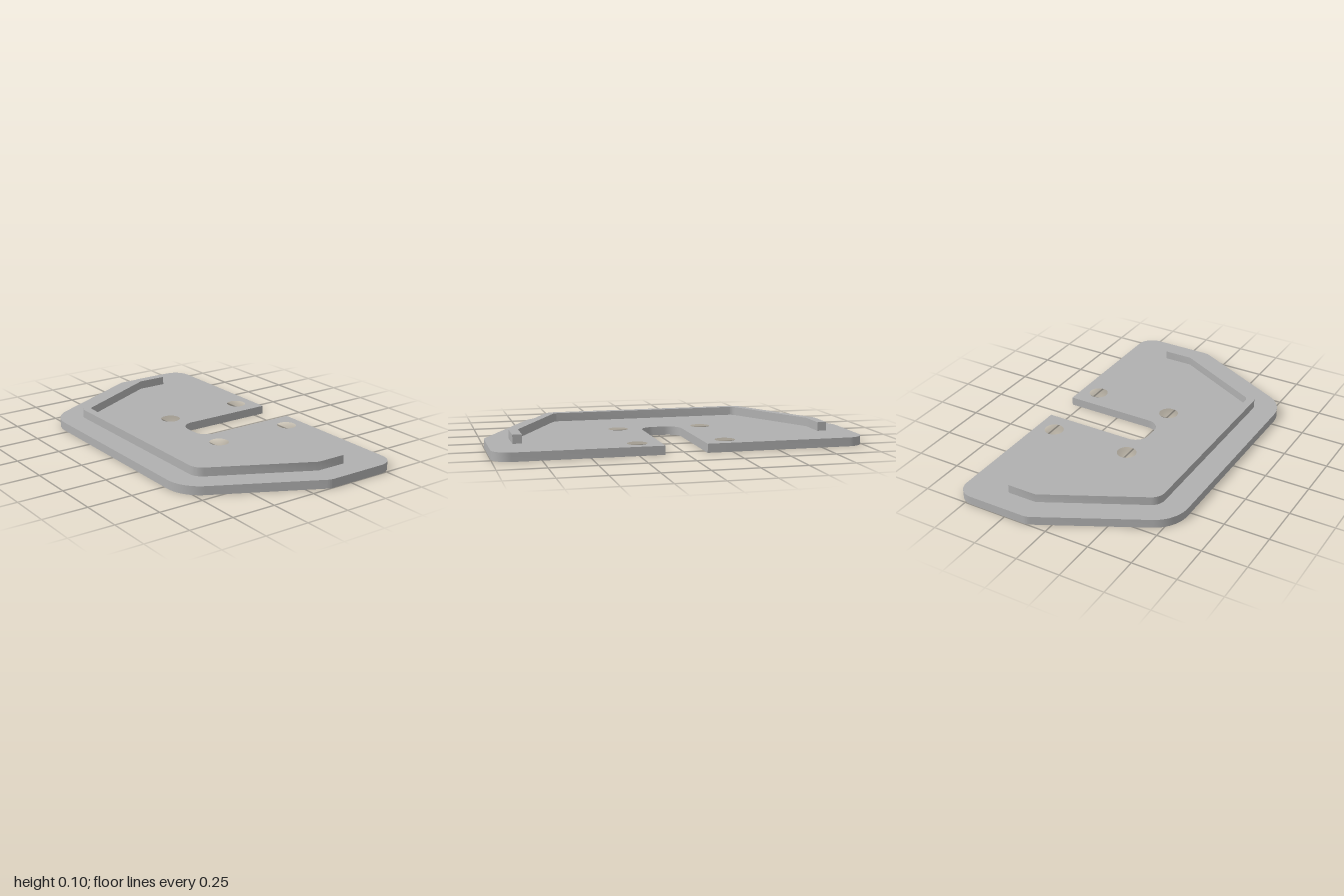
import * as THREE from 'three';
import { toCreasedNormals } from 'three/addons/utils/BufferGeometryUtils.js';

const PLATE_H = 0.048, RIDGE_H = 0.048;

// Closed outline from corners [x, z, radius], each corner rounded with a true arc
function roundedOutline(corners) {
  const pts = [];
  const n = corners.length;
  corners.forEach(([x, z, r], i) => {
    const p = new THREE.Vector2(x, -z);
    if (!r) { pts.push(p); return; }
    const a = corners[(i + n - 1) % n], b = corners[(i + 1) % n];
    const u = new THREE.Vector2(a[0], -a[1]).sub(p).normalize();
    const v = new THREE.Vector2(b[0], -b[1]).sub(p).normalize();
    const half = Math.acos(u.dot(v)) / 2;
    const centre = u.clone().add(v).normalize().multiplyScalar(r / Math.sin(half)).add(p);
    const start = u.multiplyScalar(r / Math.tan(half)).add(p).sub(centre);
    const turn = Math.PI - 2 * half;
    const end = v.multiplyScalar(r / Math.tan(half)).add(p).sub(centre);
    const sign = Math.sign(start.cross(end));
    for (let k = 0; k <= 10; k++) {
      pts.push(start.clone().rotateAround(new THREE.Vector2(), sign * turn * k / 10).add(centre));
    }
  });
  return new THREE.Shape(pts);
}

// Adds the mirrored half of a corner list
const mirrored = (half) => [...half, ...half.map(([x, z, r]) => [-x, z, r]).reverse()];

// Extrudes an outline upwards from height y
function slab(name, shape, y, height, material) {
  const geo = new THREE.ExtrudeGeometry(shape, { depth: height, bevelEnabled: false, curveSegments: 24 });
  geo.rotateX(-Math.PI / 2);
  geo.translate(0, y, 0);
  const mesh = new THREE.Mesh(toCreasedNormals(geo, Math.PI / 6), material);
  mesh.name = name;
  return mesh;
}

export function createModel() {
  const group = new THREE.Group();
  group.name = 'mountingPlate';
  const grey = new THREE.MeshStandardMaterial({ color: 0xb0b0b0 });
  grey.name = 'plain grey';

  // Base plate with a rounded slot open to the back
  const plate = roundedOutline(mirrored([
    [0.113, 0.042, 0.08],
    [0.113, -0.558, 0],
    [1, -0.558, 0.095],
    [1, -0.115, 0.08],
    [0.65, 0.558, 0.2],
  ]));

  // Four screw holes
  for (const x of [-0.238, 0.238]) {
    for (const z of [-0.453, 0.023]) {
      plate.holes.push(new THREE.Path().absarc(x, -z, 0.054, 0, Math.PI * 2, true));
    }
  }
  group.add(slab('basePlate', plate, 0, PLATE_H, grey));

  // Raised rim following the front and sloping sides
  const rim = roundedOutline(mirrored([
    [0.545, 0.378, 0.04],
    [0.82, -0.145, 0],
    [0.82, -0.313, 0],
    [0.87, -0.313, 0],
    [0.87, -0.145, 0],
    [0.577, 0.423, 0.08],
  ]));
  group.add(slab('raisedRim', rim, PLATE_H, RIDGE_H, grey));
  return group;
}
